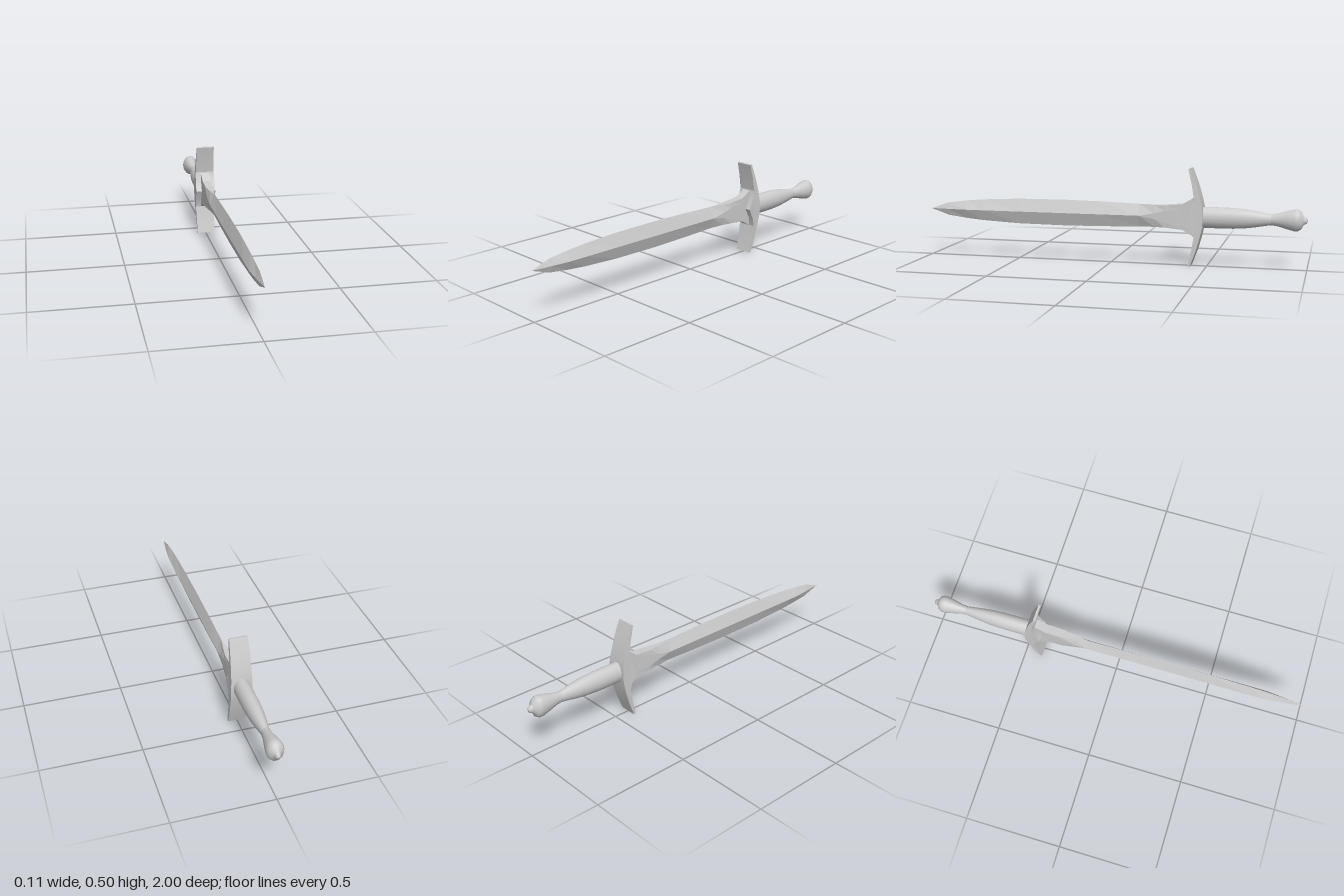
import * as THREE from 'three';
import { toCreasedNormals } from 'three/addons/utils/BufferGeometryUtils.js';

const AXIS_Y = 0.25; // height of the sword's long axis
const material = new THREE.MeshStandardMaterial({ color: 0xcccccc });
const flatMaterial = new THREE.MeshStandardMaterial({ color: 0xcccccc, flatShading: true });

// Blade: eight-sided sections blending from a boxy base into a diamond.
// Each station: z, half height, half width of edge, half width of side, half height of side flat
function bladeGeometry() {
  const stations = [
    [-0.43, 0.097, 0.023, 0.023, 0.04],
    [-0.375, 0.065, 0.023, 0.023, 0.035],
    [-0.285, 0.057, 0.022, 0.024, 0.03],
    [-0.23, 0.056, 0.013, 0.024, 0.015],
    [-0.15, 0.059, 0, 0.024, 0],
    [0.05, 0.065, 0, 0.024, 0],
    [0.25, 0.068, 0, 0.024, 0],
    [0.5, 0.066, 0, 0.024, 0],
    [0.7, 0.056, 0, 0.024, 0],
    [0.8, 0.047, 0, 0.023, 0],
    [0.9, 0.034, 0, 0.013, 0],
    [1, 0, 0, 0, 0],
  ];
  const positions = [], index = [], n = 8;
  for (const [z, h, e, s, f] of stations) {
    const ring = [[e, h], [-e, h], [-s, f], [-s, -f], [-e, -h], [e, -h], [s, -f], [s, f]];
    for (const [x, y] of ring) positions.push(x, y, z);
  }
  for (let i = 0; i < stations.length - 1; i++) {
    for (let j = 0; j < n; j++) {
      const a = i * n + j, b = i * n + (j + 1) % n;
      index.push(a, b, b + n, a, b + n, a + n);
    }
  }
  for (let j = 1; j < n - 1; j++) index.push(0, j + 1, j); // base cap
  const geometry = new THREE.BufferGeometry();
  geometry.setAttribute('position', new THREE.Float32BufferAttribute(positions, 3));
  geometry.setIndex(index);
  const flat = geometry.toNonIndexed();
  flat.computeVertexNormals();
  return flat;
}

// Crossguard: crescent profile in (z, y), extruded across x and tapered to its ends
function guardGeometry() {
  const front = [[-0.40, 0], [-0.43, 0.06], [-0.438, 0.1], [-0.426, 0.17], [-0.408, 0.247]];
  const back = [[-0.419, 0.25], [-0.449, 0.17], [-0.469, 0.1], [-0.481, 0.045], [-0.484, 0]];
  const upper = [...front, ...back];
  const lower = upper.slice(1, -1).reverse().map(([z, y]) => [z, -y]);
  const shape = new THREE.Shape([...upper, ...lower].map(([z, y]) => new THREE.Vector2(z, y)));
  const geometry = new THREE.ExtrudeGeometry(shape, { depth: 1, bevelEnabled: false });
  geometry.translate(0, 0, -0.5).rotateY(-Math.PI / 2);
  const p = geometry.attributes.position;
  for (let i = 0; i < p.count; i++) {
    const halfWidth = 0.054 - 0.008 * Math.abs(p.getY(i)) / 0.25;
    p.setX(i, Math.sign(p.getX(i)) * halfWidth);
  }
  return toCreasedNormals(geometry, 0.35);
}

// Grip and pommel: oval lathe, profile given as [radius, distance back from the centre]
function hiltGeometry(profile) {
  const geometry = new THREE.LatheGeometry(profile.map(([r, d]) => new THREE.Vector2(r, d)), 20);
  return geometry.rotateX(-Math.PI / 2).scale(0.77, 1, 1);
}

export function createModel() {
  const sword = new THREE.Group();
  sword.name = 'sword';
  const add = (name, geometry, mat = material) => {
    const mesh = new THREE.Mesh(geometry, mat);
    mesh.name = name;
    mesh.position.y = AXIS_Y;
    sword.add(mesh);
  };
  add('blade', bladeGeometry(), flatMaterial);
  add('crossguard', guardGeometry());
  add('grip', hiltGeometry([
    [0.053, 0.47], [0.054, 0.55], [0.053, 0.63], [0.049, 0.69], [0.042, 0.74], [0.033, 0.79], [0.028, 0.82],
  ]));
  add('pommel', hiltGeometry([
    [0.028, 0.82], [0.032, 0.85], [0.045, 0.895], [0.054, 0.93], [0.055, 0.95],
    [0.046, 0.966], [0.024, 0.977], [0.018, 0.985], [0.014, 0.995], [0, 1],
  ]));
  return sword;
}
